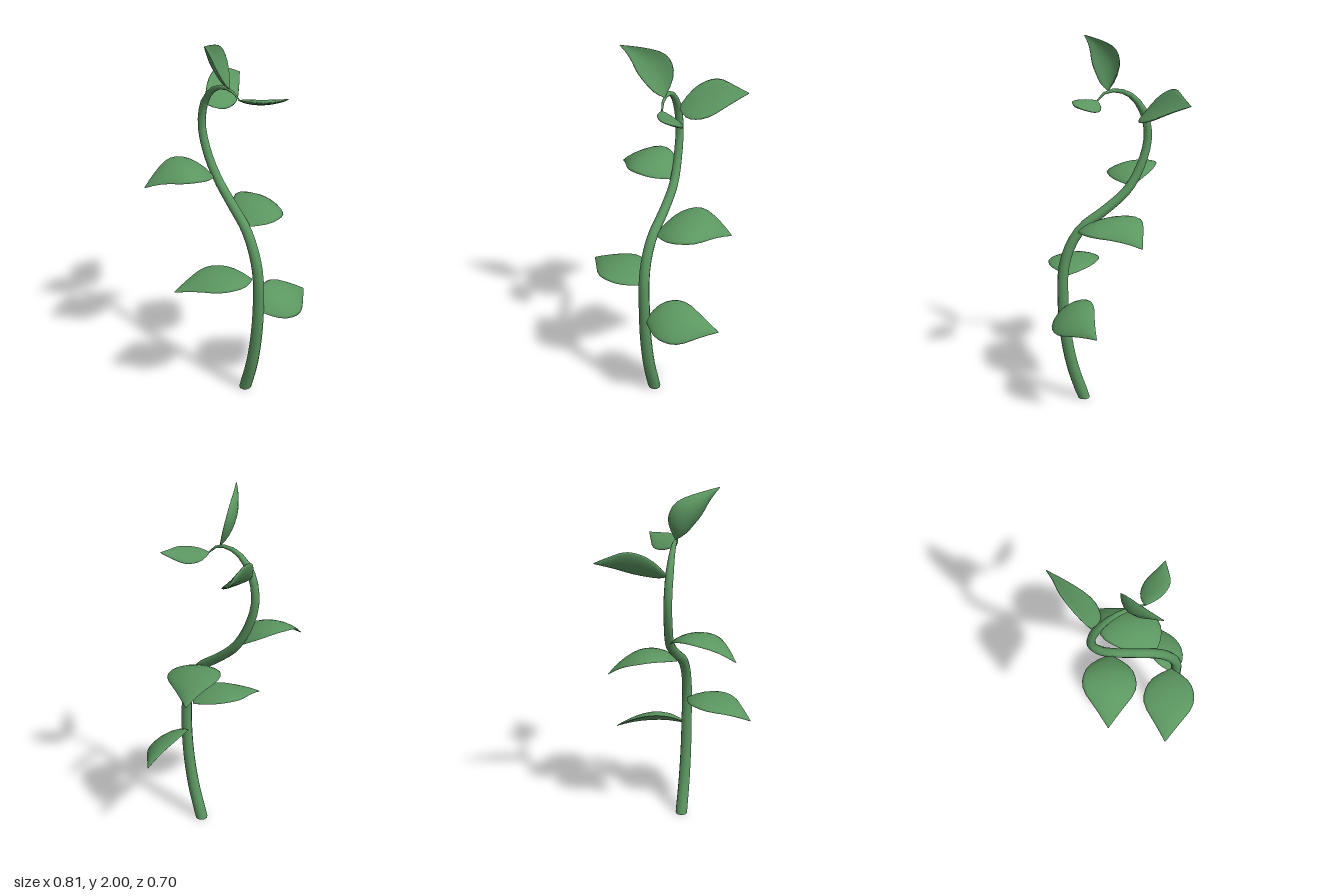
import * as THREE from 'three';

const V = (p) => new THREE.Vector3(...p);
const green = new THREE.MeshStandardMaterial({ color: 0x5b9660, side: THREE.DoubleSide });

// Leaf half-width along its length, as a fraction of the widest point
const outline = [0.04, 0.42, 0.7, 0.87, 0.96, 1, 0.97, 0.85, 0.65, 0.44, 0.23, 0.02];
const AROUND = 16;

// Tapered tube along a smooth path, closed at the foot
function createStem() {
  const path = new THREE.CatmullRomCurve3([
    [0.008, 0, 0.145], [0.008, 0.2, 0.208], [0.008, 0.4, 0.244], [0.008, 0.6, 0.257],
    [0.005, 0.78, 0.25], [0.002, 0.9, 0.213], [0.002, 1.0, 0.147], [0.006, 1.1, 0.01],
    [0.003, 1.2, -0.107], [-0.01, 1.32, -0.18], [-0.02, 1.47, -0.222], [-0.022, 1.6, -0.202],
    [-0.018, 1.68, -0.15], [-0.011, 1.722, -0.09], [0, 1.732, -0.005], [0.008, 1.715, 0.035],
    [0.018, 1.685, 0.064],
  ].map(V));
  const rings = 40, sides = 10;
  const geo = new THREE.TubeGeometry(path, rings, 1, sides);
  const pos = geo.attributes.position;
  const v = new THREE.Vector3();
  for (let i = 0; i <= rings; i++) {
    const t = i / rings;
    const c = path.getPointAt(t);
    const r = t < 0.85 ? 0.035 - 0.014 * (t / 0.85) : 0.021 - 0.017 * ((t - 0.85) / 0.15);
    for (let j = 0; j <= sides; j++) {
      const k = i * (sides + 1) + j;
      v.fromBufferAttribute(pos, k).sub(c).multiplyScalar(r).add(c);
      if (i === 0) v.y = 0;
      pos.setXYZ(k, v.x, v.y, v.z);
    }
  }
  const stem = new THREE.Group();
  stem.name = 'stem';
  const tube = new THREE.Mesh(geo, green);
  tube.name = 'stemTube';
  const foot = new THREE.Mesh(new THREE.CircleGeometry(0.034, sides), green);
  foot.name = 'stemFoot';
  foot.rotation.x = Math.PI / 2;
  foot.position.set(0.008, 0.001, 0.145);
  stem.add(tube, foot);
  return stem;
}

// Arched, thin, closed leaf: midrib through base, mid and tip; "half" spans from midrib to one edge
function createLeaf({ name, base, mid, tip, half, cup, thick = 0.015 }) {
  const b = V(base), m = V(mid), e = V(tip), h = V(half);
  const control = m.clone().multiplyScalar(2).addScaledVector(b, -0.5).addScaledVector(e, -0.5);
  const rib = new THREE.QuadraticBezierCurve3(b, control, e);
  const up = new THREE.Vector3().crossVectors(e.clone().sub(b), h).normalize();
  if (up.y < 0) {
    up.negate();
    h.negate();
  }
  const points = [], index = [];
  const last = outline.length - 1;
  outline.forEach((w, i) => {
    const c = rib.getPoint(i / last);
    for (let j = 0; j < AROUND; j++) {
      const angle = (j / AROUND) * Math.PI * 2;
      const u = Math.cos(angle);
      const rise = cup * w * (0.5 - u * u) + thick * Math.sqrt(w) * Math.sin(angle);
      points.push(...c.clone().addScaledVector(h, u * w).addScaledVector(up, rise).toArray());
      if (i < last) {
        const a = i * AROUND + j, n = i * AROUND + ((j + 1) % AROUND);
        index.push(a, n, a + AROUND, n, n + AROUND, a + AROUND);
      }
    }
  });
  const geo = new THREE.BufferGeometry();
  geo.setAttribute('position', new THREE.Float32BufferAttribute(points, 3));
  geo.setIndex(index);
  geo.computeVertexNormals();
  const leaf = new THREE.Mesh(geo, green);
  leaf.name = name;
  return leaf;
}

// Leaves from the lowest to the growing tip
const leaves = [
  { name: 'lowerLeftLeaf', base: [0.02, 0.545, 0.262], mid: [0.2, 0.573, 0.242], tip: [0.405, 0.52, 0.162], half: [0.025, -0.07, 0.105], cup: 0.02 },
  { name: 'lowerRightLeaf', base: [-0.01, 0.735, 0.22], mid: [-0.195, 0.768, 0.15], tip: [-0.405, 0.716, 0.068], half: [-0.045, -0.008, 0.135], cup: 0.012 },
  { name: 'middleLeftLeaf', base: [0.012, 1.005, 0.125], mid: [0.192, 1.06, 0.02], tip: [0.357, 0.975, -0.092], half: [0.045, -0.027, 0.15], cup: 0.02 },
  { name: 'middleRightLeaf', base: [-0.01, 1.215, -0.13], mid: [-0.19, 1.284, -0.178], tip: [-0.38, 1.2, -0.24], half: [-0.035, -0.026, 0.133], cup: 0.018 },
  { name: 'upperLeftLeaf', base: [-0.012, 1.607, -0.2], mid: [0.145, 1.663, -0.242], tip: [0.32, 1.69, -0.345], half: [0.008, -0.083, 0.076], cup: -0.02 },
  { name: 'topRightLeaf', base: [0.002, 1.735, 0], mid: [-0.068, 1.885, -0.01], tip: [-0.205, 2, 0.08], half: [0.052, 0.045, -0.053], cup: -0.035 },
  { name: 'buddingLeaf', base: [0.016, 1.685, 0.062], mid: [0.112, 1.677, 0.147], tip: [0.21, 1.695, 0.22], half: [0.034, -0.026, -0.056], cup: 0.005, thick: 0.013 },
];

export function createModel() {
  const plant = new THREE.Group();
  plant.name = 'plant';
  plant.add(createStem(), ...leaves.map(createLeaf));
  return plant;
}
